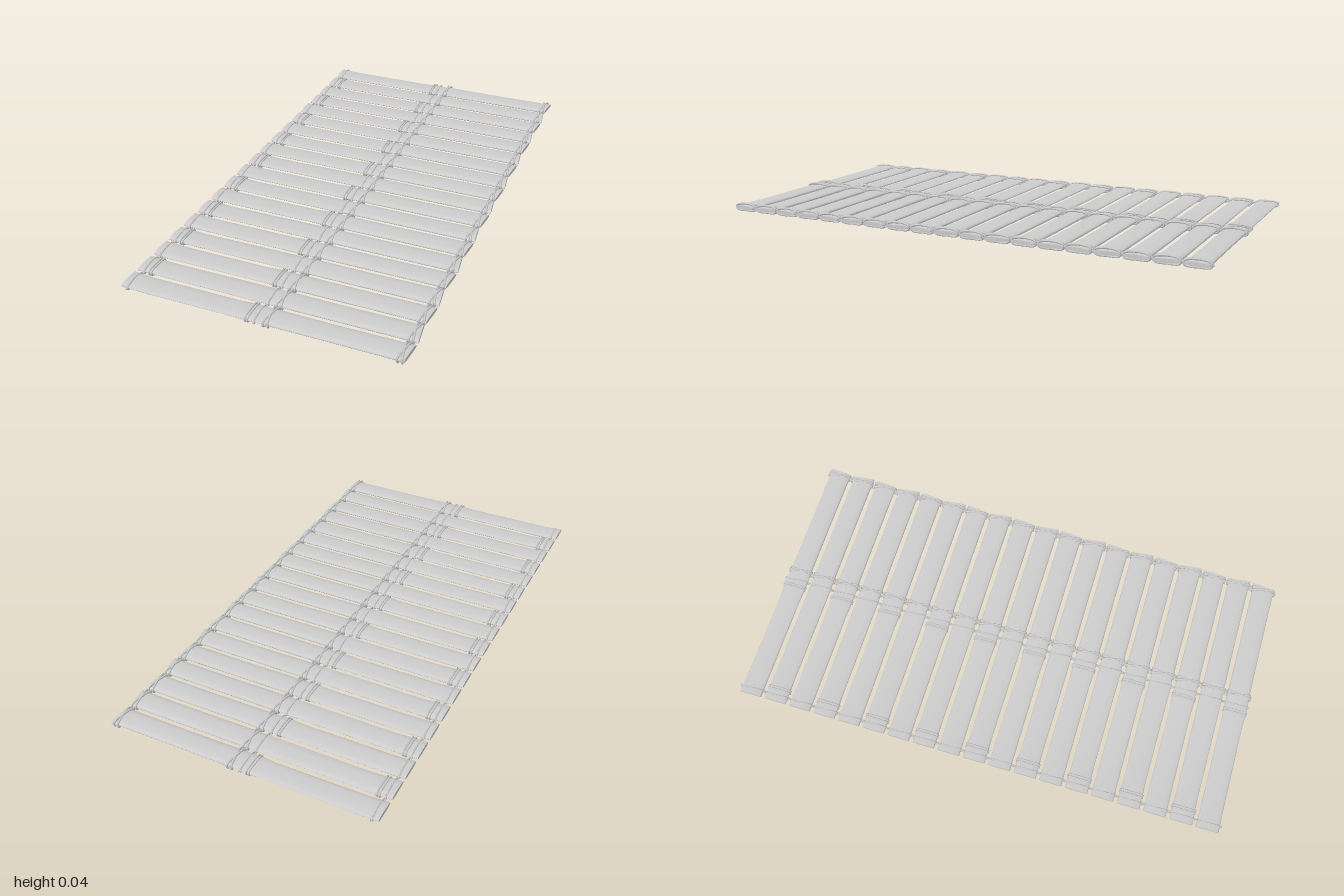
import * as THREE from 'three';
import { toCreasedNormals } from 'three/addons/utils/BufferGeometryUtils.js';

const ROWS = 19, PITCH = 0.105, MID = 0.019;

// Flattened half-cane lofted along x; sections are [x, halfWidth, bottomY, topY, skew]
function caneGeometry(sections) {
  const n = 20, pos = [], idx = [];
  for (const [x, w, y0, y1, skew = 0] of sections) {
    const edge = y0 + (y1 - y0) * 0.4;
    for (let i = 0; i < n; i++) {
      const a = (i / n) * Math.PI * 2, c = Math.cos(a), s = Math.sin(a);
      const z = w * Math.sign(c) * Math.pow(Math.abs(c), 0.75);
      const rise = Math.pow(Math.abs(s), 0.75);
      pos.push(x + skew * z, s >= 0 ? edge + (y1 - edge) * rise : edge - (edge - y0) * rise, z);
    }
  }
  const last = (sections.length - 1) * n;
  for (let k = 0; k < last; k += n) {
    for (let i = 0; i < n; i++) {
      const j = (i + 1) % n;
      idx.push(k + i, k + n + i, k + j, k + j, k + n + i, k + n + j);
    }
  }
  for (let i = 1; i < n - 1; i++) {
    idx.push(0, i, i + 1, last, last + i + 1, last + i);
  }
  const g = new THREE.BufferGeometry();
  g.setAttribute('position', new THREE.Float32BufferAttribute(pos, 3));
  g.setIndex(idx);
  return toCreasedNormals(g, 0.7);
}

// Oval loop round one cane; lean tilts it so pairs cross on the top
function loopGeometry(x, halfW, halfH, r, lean = 0) {
  const pts = [];
  for (let i = 0; i < 20; i++) {
    const a = (i / 20) * Math.PI * 2, c = Math.cos(a), s = Math.sin(a);
    const z = halfW * Math.sign(c) * Math.pow(Math.abs(c), 0.6);
    pts.push(new THREE.Vector3(x + lean * z / halfW, MID + halfH * Math.sign(s) * Math.pow(Math.abs(s), 0.6), z));
  }
  return new THREE.TubeGeometry(new THREE.CatmullRomCurve3(pts, true), 40, r, 6, true);
}

// Long cord that passes over one cane and under the next
function cordGeometry(x, phase, amp, r) {
  const pts = [], steps = ROWS * 6;
  for (let i = 0; i <= steps; i++) {
    const row = i / 6 - 0.5;
    const wave = Math.cos(row * Math.PI + phase);
    pts.push(new THREE.Vector3(
      x + 0.003 * Math.sin(row * Math.PI + phase),
      MID + amp * Math.sign(wave) * Math.pow(Math.abs(wave), 0.4),
      (row - (ROWS - 1) / 2) * PITCH));
  }
  return new THREE.TubeGeometry(new THREE.CatmullRomCurve3(pts), steps * 2, r, 5);
}

export function createModel() {
  const model = new THREE.Group();
  const bamboo = new THREE.MeshStandardMaterial({ color: 0xcccccc });
  const add = (parent, name, geometry) => {
    const mesh = new THREE.Mesh(geometry, bamboo);
    mesh.name = name;
    parent.add(mesh);
  };

  // Two alternating kinds of row: the cane joint sits near the middle or near the outer end
  const kinds = [-0.047, -0.488].map((joint, k) => {
    const skew = k ? 0.13 : -0.1;
    const nearEnd = k === 1;
    return {
      joint,
      leftCane: caneGeometry(nearEnd
        ? [[-0.54, 0.045, 0.015, 0.03], [joint, 0.045, 0.012, 0.028], [-0.43, 0.043, 0.012, 0.024], [0, 0.045, 0.012, 0.025]]
        : [[-0.54, 0.045, 0.015, 0.03], [-0.46, 0.044, 0.012, 0.025], [-0.11, 0.043, 0.012, 0.024], [joint, 0.046, 0.012, 0.027], [0.01, 0.045, 0.013, 0.025]]),
      rightCane: caneGeometry([
        [-0.015, 0.043, 0.012, 0.026], [0.03, 0.044, 0.011, 0.028], [0.25, 0.043, 0.011, 0.027],
        [0.49, 0.044, 0.011, 0.028, skew * 0.3], [0.522, 0.047, 0.012, 0.027, skew]]),
      jointRing: [-0.005, 0.005].map(d => loopGeometry(joint + d, 0.046, 0.012, 0.0035)),
    };
  });
  // Lashings shared by all rows: crossed pairs on the inner and outer ties
  const lashings = [0.025, 0.502].flatMap(x => [
    loopGeometry(x, 0.047, 0.014, 0.0038, 0.009),
    loopGeometry(x, 0.047, 0.014, 0.0038, -0.009),
  ]);
  const thinTies = [-0.515, -0.018].map(x => loopGeometry(x, 0.046, 0.0125, 0.0022));

  for (let i = 0; i < ROWS; i++) {
    const row = new THREE.Group();
    const kind = kinds[i % 2];
    row.name = 'slatRow';
    row.position.z = (i - (ROWS - 1) / 2) * PITCH;
    add(row, 'leftCane', kind.leftCane);
    add(row, 'rightCane', kind.rightCane);
    kind.jointRing.forEach(g => add(row, 'caneJoint', g));
    lashings.forEach(g => add(row, 'crossLashing', g));
    thinTies.forEach(g => add(row, 'thinTie', g));
    model.add(row);
  }

  // Cords woven through the whole mat
  for (const x of [-0.515, -0.018, 0.025, 0.502]) {
    for (const phase of [0, Math.PI]) add(model, 'wovenCord', cordGeometry(x, phase, 0.012, 0.0025));
  }
  return model;
}
